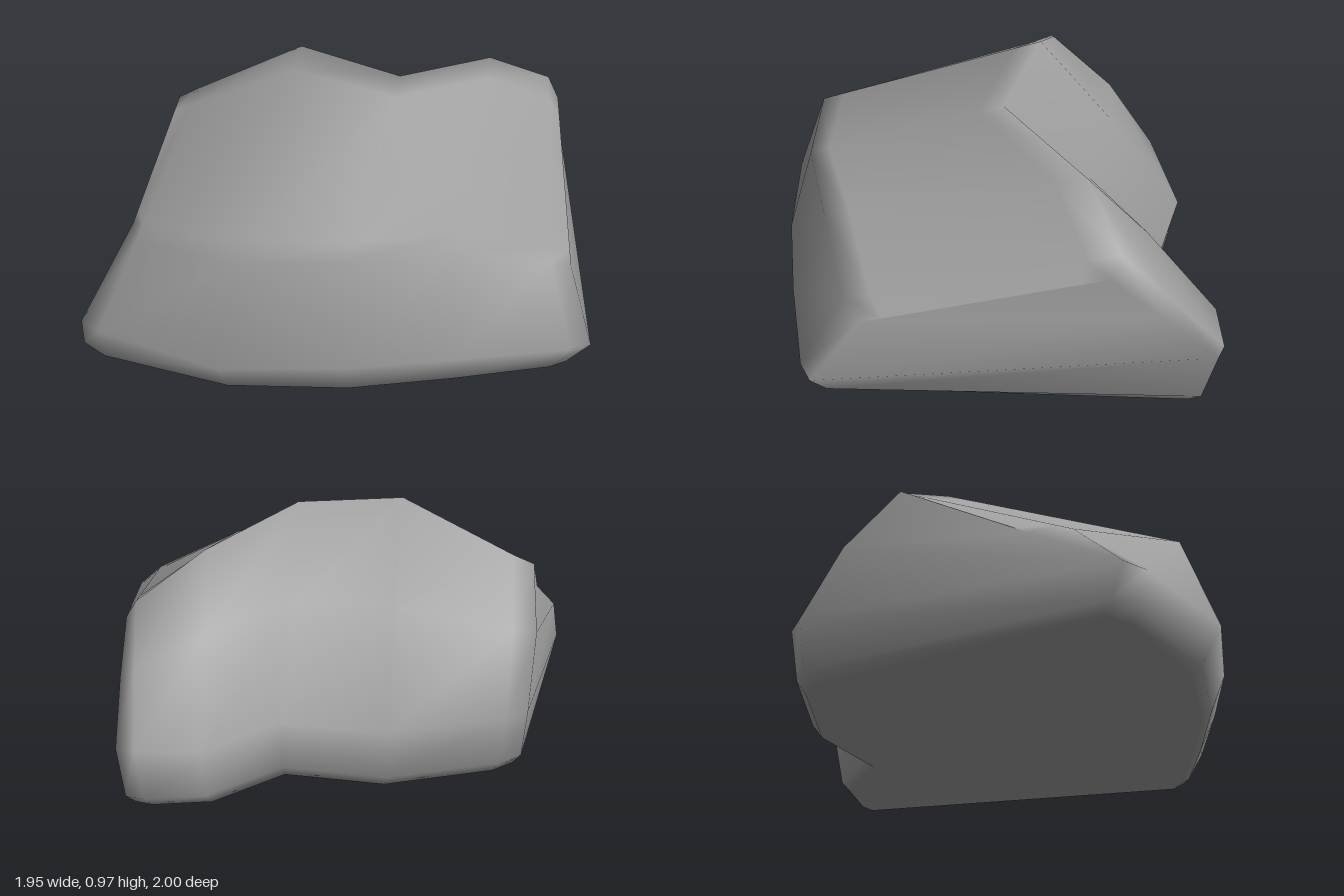
import * as THREE from 'three';

// Cross-sections from the right-hand end (-x) to the left-hand end (+x).
// Each runs: front foot, front bulge, front shoulder, ridge, back slope, back bulge.
const SECTIONS = [
  [[-0.98, 0.03, 0.80], [-0.96, 0.17, 0.84], [-0.87, 0.40, 0.47], [-0.84, 0.70, -0.05], [-0.86, 0.50, -0.27], [-0.84, 0.25, -0.45]],
  [[-0.87, 0.03, 0.86], [-0.87, 0.17, 0.89], [-0.80, 0.42, 0.61], [-0.76, 0.74, -0.07], [-0.77, 0.52, -0.33], [-0.76, 0.25, -0.53]],
  [[-0.35, 0.03, 0.92], [-0.35, 0.17, 1.00], [-0.33, 0.55, 0.86], [-0.32, 0.97, -0.10], [-0.32, 0.63, -0.41], [-0.33, 0.25, -0.71]],
  [[0.10, 0.03, 0.83], [0.10, 0.17, 0.89], [0.10, 0.57, 0.77], [0.10, 0.915, -0.04], [0.08, 0.62, -0.38], [0.08, 0.25, -0.68]],
  [[0.48, 0.03, 0.68], [0.50, 0.17, 0.74], [0.47, 0.55, 0.59], [0.40, 0.84, -0.43], [0.36, 0.60, -0.66], [0.33, 0.25, -0.945]],
  [[0.82, 0.03, 0.53], [0.90, 0.16, 0.57], [0.79, 0.43, 0.42], [0.63, 0.69, -0.60], [0.60, 0.49, -0.79], [0.56, 0.27, -1.00]],
  [[0.88, 0.03, 0.48], [0.97, 0.15, 0.51], [0.86, 0.38, 0.34], [0.68, 0.61, -0.57], [0.66, 0.45, -0.77], [0.63, 0.27, -0.985]],
];

const mix = (a, b, t) => a.map((v, k) => v + (b[k] - v) * t);

// Completes a section: flat underside, tucked-in back foot, and two extra
// points that keep the long front slope flat between shoulder and ridge.
function closeSection([foot, bulge, shoulder, ridge, slope, back]) {
  return [
    [foot[0] * 0.95, 0, foot[2] * 0.95],
    foot,
    bulge,
    shoulder,
    mix(shoulder, ridge, 0.1),
    mix(shoulder, ridge, 0.88),
    ridge,
    slope,
    back,
    [back[0] * 0.98, 0.05, back[2] * 0.95],
    [back[0] * 0.94, 0, back[2] * 0.9],
  ];
}

function rockGeometry() {
  const rings = SECTIONS.map(closeSection);
  const n = rings[0].length;
  const last = (rings.length - 1) * n;
  const index = [];
  const quad = (a, b, c, d) => index.push(a, b, c, a, c, d);

  // Skin between neighbouring sections, including the underside
  for (let s = 0; s < rings.length - 1; s++) {
    for (let i = 0; i < n; i++) {
      const j = (i + 1) % n;
      quad(s * n + i, (s + 1) * n + i, (s + 1) * n + j, s * n + j);
    }
  }

  // End faces, bridged from front to back and closed with a triangle on top
  const middle = (n - 1) / 2;
  for (let i = 0; i < middle; i++) {
    const j = n - 1 - i;
    if (i + 1 === middle) {
      index.push(i, middle, j);
      index.push(last + i, last + j, last + middle);
    } else {
      quad(i, i + 1, j - 1, j);
      quad(last + i, last + j, last + j - 1, last + i + 1);
    }
  }

  const geometry = new THREE.BufferGeometry();
  geometry.setAttribute('position', new THREE.Float32BufferAttribute(rings.flat(2), 3));
  geometry.setIndex(index);
  geometry.computeVertexNormals();
  return geometry;
}

export function createModel() {
  const group = new THREE.Group();
  group.name = 'rock';
  const boulder = new THREE.Mesh(rockGeometry(), new THREE.MeshStandardMaterial({ color: 0x9e9e9e }));
  boulder.name = 'boulder';
  group.add(boulder);
  return group;
}
